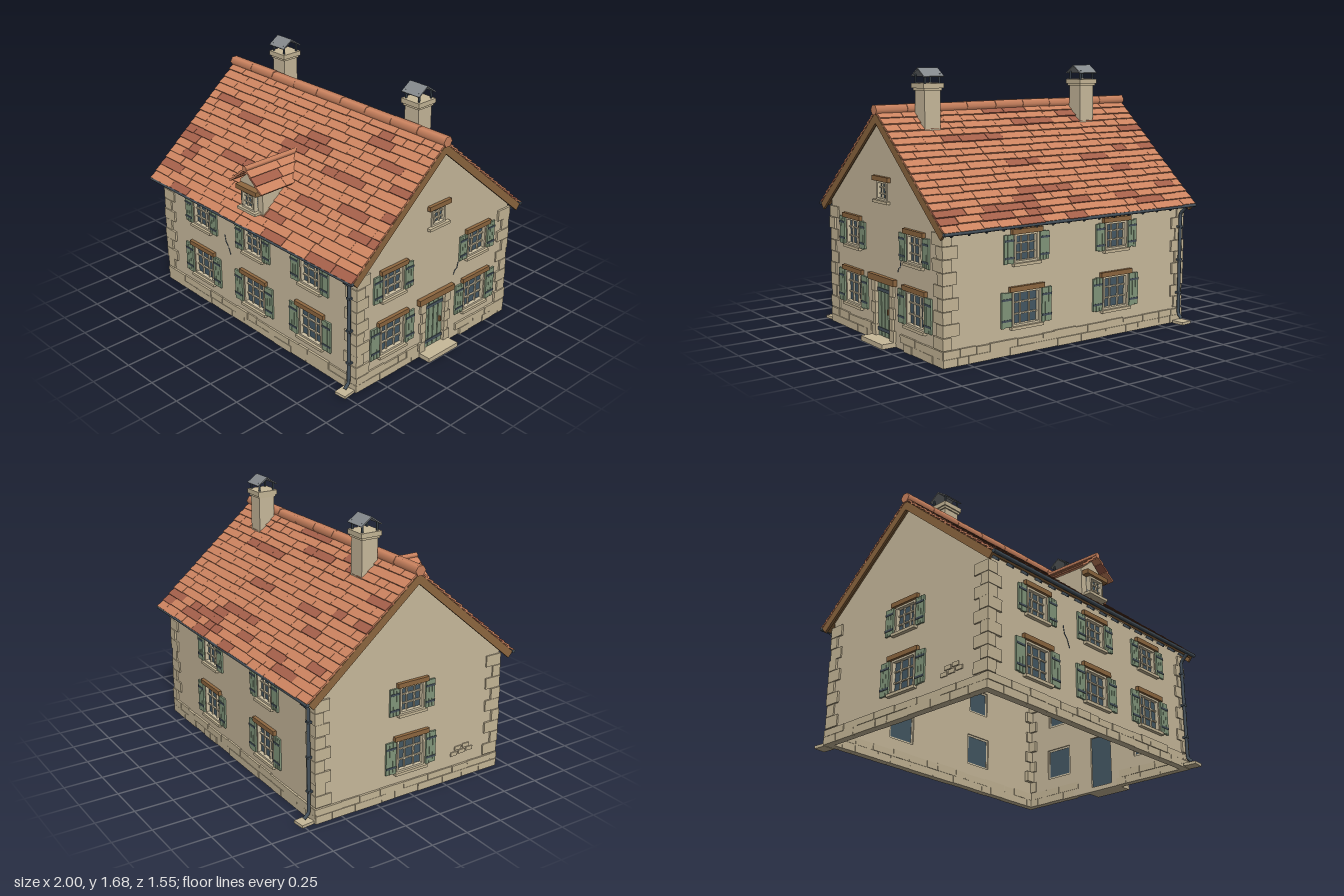
import * as THREE from 'three';
import { mergeGeometries } from 'three/addons/utils/BufferGeometryUtils.js';

const mat = (name, color, side = THREE.FrontSide) => {
  const m = new THREE.MeshStandardMaterial({ color, side });
  m.name = name;
  return m;
};
const M = {
  plaster: mat('plaster', 0xcbbc9e), stone: mat('stone', 0xc8b999), frame: mat('frame', 0xcfc2a4),
  tile: mat('tile', 0xcd8460), tileDark: mat('darkTile', 0xa5604a), wood: mat('wood', 0x8f6840),
  green: mat('shutterGreen', 0x84997d), glass: mat('glass', 0x455965, THREE.DoubleSide),
  iron: mat('iron', 0x46525c), zinc: mat('zinc', 0x84898c),
};

let seed = 7;
const rnd = (a = 0, b = 1) => {
  seed = (seed * 16807) % 2147483647;
  return a + (b - a) * (seed / 2147483647);
};
const box = (w, h, d, x = 0, y = 0, z = 0) => new THREE.BoxGeometry(w, h, d).translate(x, y, z);
const add = (parent, name, material, ...geos) => {
  const mesh = new THREE.Mesh(geos.length > 1 ? mergeGeometries(geos) : geos[0], material);
  mesh.name = name;
  parent.add(mesh);
  return mesh;
};
const group = (parent, name, x = 0, y = 0, z = 0, ry = 0) => {
  const g = new THREE.Group();
  g.name = name;
  g.position.set(x, y, z);
  g.rotation.y = ry;
  parent.add(g);
  return g;
};
const poly = (pts) => new THREE.Shape(pts.map(([x, y]) => new THREE.Vector2(x, y)));

// House proportions (x half, z half, roof)
const HX = 0.925, HZ = 0.67, RIDGE = 1.415, A = Math.atan(0.853), SLOPE = 0.975, ROOFX = 0.97;

// Window: origin at the bottom centre of the opening, z = wall face
function addWindow(parent, { x, y, w, h, shutters = true, lintel = w + 0.055, sill = w + 0.035 }) {
  const g = group(parent, 'window', x, y, 0);
  add(g, 'glass', M.glass, box(w, h, 0.006, 0, h / 2, -0.02));
  const t = 0.012, bars = [];
  for (const s of [-1, 1]) {
    bars.push(box(t, h, 0.034, s * (w - t) / 2, h / 2, -0.009));
    bars.push(box(w, t, 0.034, 0, h / 2 + s * (h - t) / 2, -0.009));
    bars.push(box(0.008, h, 0.012, s * w / 6, h / 2, -0.012));
    bars.push(box(w, 0.008, 0.012, 0, h / 2 + s * h / 6, -0.012));
  }
  add(g, 'frame', M.frame, ...bars);
  add(g, 'sill', M.stone, box(sill, 0.018, 0.05, 0, -0.009, 0));
  add(g, 'lintel', M.wood, box(lintel, 0.03, 0.045, 0, h + 0.016, 0));
  if (!shutters) return;
  const sw = w > 0.18 ? 0.074 : 0.068, planks = [], straps = [];
  for (const s of [-1, 1]) {
    const cx = s * (w / 2 + 0.012 + sw / 2);
    for (let i = -1; i <= 1; i++)
      planks.push(box(sw / 3 - 0.002, h + rnd(-0.006, 0.006), 0.012, cx + i * sw / 3, h / 2, 0.008));
    for (const f of [0.2, 0.8]) straps.push(box(sw, 0.013, 0.004, cx, h * f, 0.015));
  }
  add(g, 'shutters', M.green, ...planks);
  add(g, 'shutterStraps', M.iron, ...straps);
}

// One wall with openings cut through
function addWall(house, name, half, dist, ry, gable, openings) {
  const g = group(house, name, Math.sin(ry) * dist, 0, Math.cos(ry) * dist, ry);
  const top = gable ? 1.385 - half * 0.853 : 0.81;
  const s = poly([[-half, 0], [half, 0], [half, top], ...(gable ? [[0, 1.385]] : []), [-half, top]]);
  for (const { x, y, w, h } of openings) {
    const a = w / 2;
    s.holes.push(new THREE.Path([[x - a, y], [x - a, y + h], [x + a, y + h], [x + a, y]]
      .map((p) => new THREE.Vector2(...p))));
  }
  add(g, name + 'Plaster', M.plaster,
    new THREE.ExtrudeGeometry(s, { depth: 0.035, bevelEnabled: false }).translate(0, 0, -0.035));
  openings.filter((o) => !o.door).forEach((o) => addWindow(g, o));
  // Plinth: two courses of irregular stones
  const stones = [], end = half + 0.012;
  for (let row = 0; row < 2; row++) {
    for (let x = -end; x < end - 0.01;) {
      let w = rnd(0.07, 0.2);
      if (end - x - w < 0.06) w = end - x;
      const c = x + w / 2, h = 0.048 + (row ? rnd(-0.008, 0.003) : 0);
      const atDoor = openings.some((o) => o.door && Math.abs(c - o.x) < 0.085 + w / 2);
      if (!atDoor) stones.push(box(w - 0.003, h, 0.05, c, row * 0.05 + h / 2, -0.013 + rnd(-0.003, 0.003)));
      x += w;
    }
  }
  add(g, 'plinthStones', M.stone, ...stones);
  return g;
}

// Crack: a chain of thin plates on a wall
function addCrack(wall, pts) {
  add(wall, 'crack', M.iron, ...pts.slice(1).map(([x, y], i) => {
    const [px, py] = pts[i], dx = x - px, dy = y - py;
    return box(Math.hypot(dx, dy), 0.005, 0.003).rotateZ(Math.atan2(dy, dx)).translate((x + px) / 2, (y + py) / 2, 0.001);
  }));
}

function addDoor(wall) {
  const g = group(wall, 'door', 0, 0.03, 0), planks = [], jambs = [];
  add(g, 'doorBacking', M.glass, box(0.17, 0.35, 0.006, 0, 0.175, -0.02));
  for (let i = 0; i < 4; i++) planks.push(box(0.035, 0.345, 0.012, (i - 1.5) * 0.042, 0.175, -0.01));
  add(g, 'doorPlanks', M.green, ...planks);
  add(g, 'doorStraps', M.iron, box(0.165, 0.022, 0.005, 0, 0.045, -0.002), box(0.165, 0.022, 0.005, 0, 0.295, -0.002));
  add(g, 'doorHandle', M.wood, box(0.01, 0.035, 0.016, 0.055, 0.17, 0.002));
  for (const s of [-1, 1]) for (let i = 0; i < 5; i++) {
    const w = i % 2 ? 0.034 : 0.05;
    jambs.push(box(w, 0.068, 0.045, s * (0.085 + w / 2), 0.035 + i * 0.07, -0.007));
  }
  add(g, 'doorJambs', M.stone, ...jambs);
  add(g, 'doorLintel', M.wood, box(0.315, 0.04, 0.055, 0, 0.37, 0));
  add(g, 'doorStep', M.stone, box(0.265, 0.03, 0.1, 0, -0.015, 0.045));
}

// One roof pitch with its gutter and downpipe
function addPitch(house, name, ry) {
  const side = group(house, name, 0, 0, 0, ry);
  const g = group(side, 'roofPitch', 0, RIDGE, 0);
  g.rotation.x = A;
  add(g, 'roofDeck', M.wood, box(ROOFX * 2 - 0.01, 0.02, SLOPE, 0, -0.01, SLOPE / 2));
  add(g, 'bargeBoards', M.wood, ...[-1, 1].map((s) => box(0.016, 0.048, SLOPE, s * (ROOFX - 0.01), -0.024, SLOPE / 2)));
  const light = [], dark = [], rows = 17, pitch = SLOPE / rows;
  for (let r = 0; r < rows; r++) {
    let deep = false;
    for (let x = -ROOFX; x < ROOFX - 0.001;) {
      let w = rnd(0.08, 0.24);
      if (ROOFX - x - w < 0.06) w = ROOFX - x;
      deep = rnd() < (deep ? 0.3 : 0.16);
      (deep ? dark : light).push(box(w - 0.003, 0.01, pitch + 0.012).rotateX(-0.14)
        .translate(x + w / 2, 0.008 + rnd(0, 0.003), (r + 0.5) * pitch + rnd(-0.002, 0.004)));
      x += w;
    }
  }
  add(g, 'roofTiles', M.tile, ...light);
  add(g, 'darkRoofTiles', M.tileDark, ...dark);
  add(g, 'eaveBrackets', M.iron, ...Array.from({ length: 16 }, (_, i) => box(0.012, 0.018, 0.06, -0.9 + i * 0.12, -0.027, SLOPE - 0.03)));
  add(side, 'gutter', M.iron, new THREE.CylinderGeometry(0.012, 0.012, ROOFX * 2, 8).rotateZ(Math.PI / 2).translate(0, 0.782, 0.75));
  const path = new THREE.CurvePath();
  const pts = [[0.75, 0.775], [0.698, 0.725], [0.698, 0.06], [0.73, 0.03]].map(([z, y]) => new THREE.Vector3(0.89, y, z));
  pts.slice(1).forEach((p, i) => path.add(new THREE.LineCurve3(pts[i], p)));
  add(side, 'downpipe', M.iron, new THREE.TubeGeometry(path, 40, 0.011, 8));
  add(side, 'pipeClips', M.iron, ...[0.2, 0.42, 0.64].map((y) => box(0.03, 0.012, 0.03, 0.89, y, 0.694)));
  add(side, 'splashStone', M.stone, box(0.08, 0.018, 0.085).rotateY(0.1).translate(0.89, 0.009, 0.73));
}

function addChimney(house, x) {
  const g = group(house, 'chimney', x, 0, -0.09);
  add(g, 'chimneyStack', M.plaster, box(0.112, 0.28, 0.112, 0, 1.42, 0));
  add(g, 'chimneyCollar', M.stone, box(0.145, 0.03, 0.145, 0, 1.572, 0), box(0.128, 0.015, 0.128, 0, 1.55, 0));
  const posts = [];
  for (const i of [-1, 1]) for (const k of [-1, 1]) posts.push(box(0.01, 0.06, 0.01, i * 0.052, 1.613, k * 0.052));
  add(g, 'cowlPosts', M.iron, ...posts);
  add(g, 'cowlRoof', M.zinc, ...[-1, 1].map((s) => box(0.142, 0.007, 0.088).rotateX(s * 0.6).translate(0, 1.652, s * 0.036)));
}

function addDormer(house) {
  const g = group(house, 'dormer');
  const face = group(g, 'dormerFace', 0, 0, 0.67);
  const s = poly([[-0.105, 0.84], [0.105, 0.84], [0.105, 1.045], [0, 1.135], [-0.105, 1.045]]);
  add(face, 'dormerFront', M.plaster, new THREE.ExtrudeGeometry(s, { depth: 0.02, bevelEnabled: false }).translate(0, 0, -0.02));
  addWindow(face, { x: 0, y: 0.885, w: 0.12, h: 0.115, shutters: false, lintel: 0.195, sill: 0.17 });
  // Bring the window in front of the solid dormer face
  face.children[1].position.z = 0.024;
  const cheek = poly([[-0.67, 0.835], [-0.42, 1.05], [-0.67, 1.05]]);
  for (const k of [-1, 1]) add(g, 'dormerCheek', M.plaster,
    new THREE.ExtrudeGeometry(cheek, { depth: 0.016, bevelEnabled: false }).rotateY(Math.PI / 2).translate(k * 0.097 - 0.008, 0, 0));
  // Tile courses run back until they meet the main roof
  const courses = [], dark = [], rows = 3, step = 0.19 / rows;
  for (const k of [-1, 1]) for (let r = 0; r < rows; r++) {
    const u = (r + 0.5) * step, y = 1.16 - u * Math.sin(A), back = (RIDGE - y) / 0.853 - 0.01;
    const len = 0.72 - back, cut = len * rnd(0.35, 0.65);
    [[back, cut], [back + cut, len - cut]].forEach(([z, l], i) =>
      (i && r === 1 && k > 0 ? dark : courses).push(box(step + 0.014, 0.013, l - 0.002).rotateZ(-k * (A - 0.1))
        .translate(k * u * Math.cos(A), y, z + l / 2)));
  }
  add(g, 'dormerTiles', M.tile, ...courses);
  add(g, 'dormerDarkTiles', M.tileDark, ...dark);
  add(g, 'dormerRidge', M.tile, new THREE.CylinderGeometry(0.02, 0.02, 0.42, 6).rotateX(Math.PI / 2).translate(0, 1.16, 0.51));
}

export function createModel() {
  seed = 7;
  const root = new THREE.Group();
  root.name = 'farmhouse';
  const house = group(root, 'house', -0.02, 0, 0);

  const upper = (x) => ({ x, y: 0.55, w: 0.17, h: 0.172 });
  const lower = (x) => ({ x, y: 0.17, w: 0.2, h: 0.21 });
  const both = (...xs) => xs.flatMap((x) => [upper(x), lower(x)]);
  const front = addWall(house, 'frontWall', HX, HZ, 0, false, both(-0.525, 0, 0.53));
  addWall(house, 'backWall', HX, HZ, Math.PI, false, both(-0.345, 0.355));
  const doorWall = addWall(house, 'doorGable', HZ, HX, Math.PI / 2, true, [
    ...both(-0.377, 0.373), { door: true, x: 0, y: 0.03, w: 0.17, h: 0.35 },
    { x: 0, y: 0.885, w: 0.12, h: 0.115, shutters: false, lintel: 0.19, sill: 0.18 }]);
  const plainWall = addWall(house, 'plainGable', HZ, HX, -Math.PI / 2, true, both(0));
  addDoor(doorWall);
  addCrack(front, [[-0.29, 0.59], [-0.28, 0.54], [-0.255, 0.51], [-0.235, 0.46]]);
  addCrack(doorWall, [[0.21, 0.55], [0.2, 0.505], [0.18, 0.495], [0.17, 0.47]]);
  // Patch of bare stones on the plain gable
  add(plainWall, 'bareStones', M.stone, ...[[0.34, 0.17], [0.4, 0.175], [0.37, 0.205], [0.43, 0.21], [0.46, 0.18]]
    .map(([x, y]) => box(0.05, 0.025, 0.008, x, y, 0.003)));

  // Corner stones, alternating long and short
  const quoins = [];
  for (const i of [-1, 1]) for (const k of [-1, 1]) for (let r = 0; r < 9; r++) {
    const lx = (r % 2 ? 0.105 : 0.065) + rnd(-0.008, 0.008), lz = (r % 2 ? 0.065 : 0.105) + rnd(-0.008, 0.008);
    const out = rnd(0.008, 0.015);
    quoins.push(box(lx, 0.072, lz, i * (HX + out - lx / 2), 0.138 + r * 0.075, k * (HZ + out - lz / 2)));
  }
  add(house, 'cornerStones', M.stone, ...quoins);

  addPitch(house, 'frontRoof', 0);
  addPitch(house, 'backRoof', Math.PI);
  // Ridge tiles
  const ridge = [];
  for (let i = 0; i < 9; i++) {
    ridge.push(new THREE.CylinderGeometry(0.036, 0.036, 0.215, 6).rotateZ(Math.PI / 2)
      .scale(1, 0.95, 1).translate(-0.87 + i * 0.2175, 1.432 + rnd(-0.002, 0.002), 0));
  }
  add(house, 'ridgeTiles', M.tile, ...ridge);

  addChimney(house, -0.548);
  addChimney(house, 0.655);
  addDormer(house);
  return root;
}
